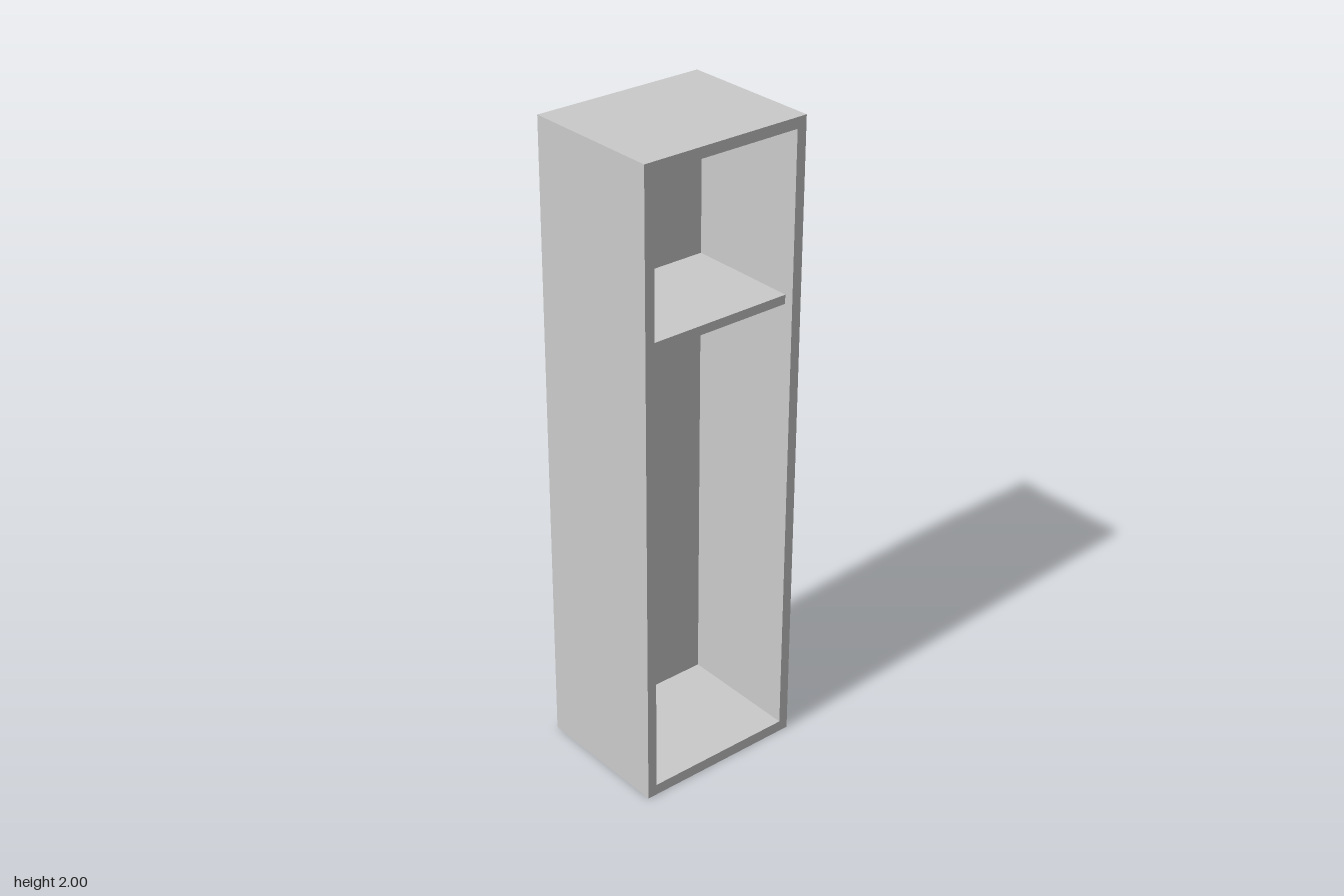
import * as THREE from 'three';

// Open-backed cabinet: thin outer shell, recessed compartment, one shelf.
const X = 0.274, Z = 0.224, H = 2;                       // outer half width, half depth, height
const IX = 0.243, Y0 = 0.035, Y1 = 1.967, BACK = -0.165; // compartment limits

export function createModel() {
  const group = new THREE.Group();
  const mat = new THREE.MeshStandardMaterial({ color: 0xcccccc, side: THREE.DoubleSide, flatShading: true });

  const add = (name, geometry, x, y, z, rx = 0, ry = 0) => {
    const mesh = new THREE.Mesh(geometry, mat);
    mesh.name = name;
    mesh.position.set(x, y, z);
    mesh.rotation.set(rx, ry, 0);
    group.add(mesh);
  };
  const plane = (w, h) => new THREE.PlaneGeometry(w, h);
  const q = Math.PI / 2;

  // Front frame around the opening
  const frame = new THREE.Shape([[-X, 0], [X, 0], [X, H], [-X, H]].map(p => new THREE.Vector2(...p)));
  frame.holes.push(new THREE.Path([[-IX, Y0], [-IX, Y1], [IX, Y1], [IX, Y0]].map(p => new THREE.Vector2(...p))));
  add('frontFrame', new THREE.ShapeGeometry(frame), 0, 0, Z);

  // Outer shell and compartment walls
  const depth = Z - BACK, midZ = (Z + BACK) / 2, midY = (Y0 + Y1) / 2;
  for (const [side, s] of [['left', 1], ['right', -1]]) {
    add(side + 'OuterSide', plane(2 * Z, H), s * X, H / 2, 0, 0, s * q);
    add(side + 'InnerSide', plane(depth, Y1 - Y0), s * IX, midY, midZ, 0, -s * q);
  }
  add('outerTop', plane(2 * X, 2 * Z), 0, H, 0, -q);
  add('innerCeiling', plane(2 * IX, depth), 0, Y1, midZ, q);
  add('innerFloor', plane(2 * IX, depth), 0, Y0, midZ, -q);
  add('backPanel', plane(2 * IX, Y1 - Y0), 0, midY, BACK);

  // Shelf, set slightly behind the front frame
  const shelfFront = 0.195;
  add('shelf', new THREE.BoxGeometry(2 * IX, 0.028, shelfFront - BACK), 0, 1.461, (shelfFront + BACK) / 2);

  return group;
}
